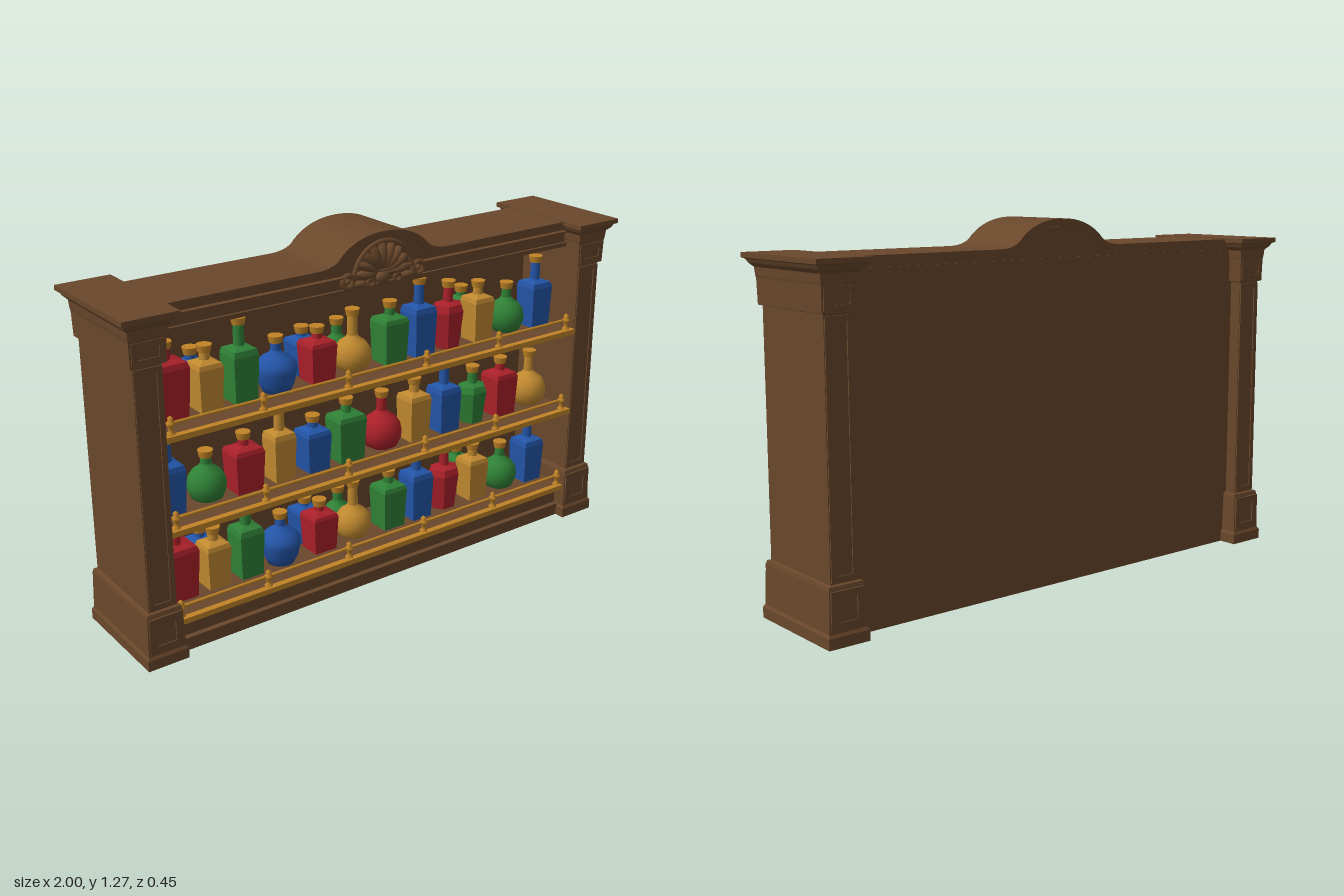
import * as THREE from 'three';

const mat = (name, color) => {
  const m = new THREE.MeshStandardMaterial({ color });
  m.name = name;
  return m;
};

export function createModel() {
  const wood = mat('brown wood', 0x69472b);
  const brass = mat('brass', 0xc08326);
  const glass = {
    R: mat('red glass', 0xa92029), A: mat('amber glass', 0xbf882f),
    G: mat('green glass', 0x2f8036), B: mat('blue glass', 0x2354a6),
  };
  const model = new THREE.Group();
  model.name = 'bottleCabinet';

  const add = (name, geo, material, x = 0, y = 0, z = 0, parent = model) => {
    const mesh = new THREE.Mesh(geo, material);
    mesh.name = name;
    mesh.position.set(x, y, z);
    parent.add(mesh);
    return mesh;
  };
  // Box given by its min and max corners
  const box = (name, material, x0, x1, y0, y1, z0, z1) =>
    add(name, new THREE.BoxGeometry(x1 - x0, y1 - y0, z1 - z0), material,
      (x0 + x1) / 2, (y0 + y1) / 2, (z0 + z1) / 2);
  const flat = (geo) => {
    const g = geo.toNonIndexed();
    g.computeVertexNormals();
    return g;
  };

  // Rectangular column whose sides follow a profile of [outset, height]
  const rectColumn = (hx, hz, profile) => {
    const pos = [], idx = [];
    for (const [o, y] of profile) {
      const a = hx + o, b = hz + o;
      pos.push(-a, y, b, a, y, b, a, y, -b, -a, y, -b);
    }
    for (let i = 0; i < profile.length - 1; i++)
      for (let j = 0; j < 4; j++) {
        const a = i * 4 + j, b = i * 4 + (j + 1) % 4;
        idx.push(a, b, b + 4, a, b + 4, a + 4);
      }
    const t = (profile.length - 1) * 4;
    idx.push(0, 2, 1, 0, 3, 2, t, t + 1, t + 2, t, t + 2, t + 3);
    const g = new THREE.BufferGeometry();
    g.setAttribute('position', new THREE.Float32BufferAttribute(pos, 3));
    g.setIndex(idx);
    return flat(g);
  };

  // Raised rectangular border, centred on x = 0
  const frame = (w, y0, y1, border, depth) => {
    const s = new THREE.Shape([[-w / 2, y0], [w / 2, y0], [w / 2, y1], [-w / 2, y1]]
      .map(([x, y]) => new THREE.Vector2(x, y)));
    const k = w / 2 - border;
    s.holes.push(new THREE.Path([[-k, y0 + border], [-k, y1 - border], [k, y1 - border], [k, y0 + border]]
      .map(([x, y]) => new THREE.Vector2(x, y))));
    return new THREE.ExtrudeGeometry(s, { depth, bevelEnabled: false });
  };

  // Pillars with base, capital and cornice, framed front and back
  const pillarGeo = rectColumn(0.045, 0.175, [
    [0.028, 0], [0.028, 0.036], [0.022, 0.046], [0.018, 0.18], [0.015, 0.192], [0.005, 0.195],
    [0.004, 1.01], [0.015, 1.013], [0.017, 1.095], [0.019, 1.105], [0.021, 1.13],
    [0.034, 1.143], [0.04, 1.155], [0.05, 1.159], [0.05, 1.175]]);
  for (const side of [-1, 1]) {
    const pillar = new THREE.Group();
    pillar.name = side > 0 ? 'leftPillar' : 'rightPillar';
    pillar.position.x = side * 0.905;
    model.add(pillar);
    add('pillarBody', pillarGeo, wood, 0, 0, 0, pillar);
    for (const face of [0, Math.PI]) {
      const trim = new THREE.Group();
      trim.name = 'pillarTrim';
      trim.rotation.y = face;
      pillar.add(trim);
      add('shaftFrame', frame(0.094, 0.2, 1.005, 0.018, 0.008), wood, 0, 0, 0.176, trim);
      add('baseFrame', frame(0.12, 0.052, 0.178, 0.026, 0.009), wood, 0, 0, 0.191, trim);
      add('capitalFrame', frame(0.11, 1.02, 1.092, 0.018, 0.007), wood, 0, 0, 0.188, trim);
    }
  }

  // Back panel and plinth
  box('backPanel', wood, -0.87, 0.87, 0, 1.12, -0.135, -0.11);
  box('plinth', wood, -0.87, 0.87, 0, 0.112, -0.135, 0.145);
  box('plinthFoot', wood, -0.86, 0.86, 0, 0.045, 0.14, 0.165);

  // Header with an arched crest
  const arch = (base, rise, bottom) => {
    const s = new THREE.Shape();
    s.moveTo(-0.87, bottom);
    s.lineTo(0.87, bottom);
    s.lineTo(0.87, base);
    s.lineTo(0.27, base);
    s.quadraticCurveTo(0.2, base, 0.175, base + rise * 0.35);
    s.bezierCurveTo(0.13, base + rise * 0.8, 0.07, base + rise, 0, base + rise);
    s.bezierCurveTo(-0.07, base + rise, -0.13, base + rise * 0.8, -0.175, base + rise * 0.35);
    s.quadraticCurveTo(-0.2, base, -0.27, base);
    s.lineTo(-0.87, base);
    return s;
  };
  const slab = (name, shape, z0, z1) => add(name,
    new THREE.ExtrudeGeometry(shape, { depth: z1 - z0, bevelEnabled: false, curveSegments: 12 }), wood, 0, 0, z0);
  slab('header', arch(1.15, 0.09, 1.08), -0.135, 0.115);
  // Cornice lip following the crest
  const lip = arch(1.172, 0.094, 1.13);
  lip.holes.push(new THREE.Path(arch(1.148, 0.094, 1.135).getPoints(12).reverse()
    .map((p) => new THREE.Vector2(p.x * 0.99, p.y))));
  slab('corniceLip', lip, -0.14, 0.135);
  box('headerBead', wood, -0.865, 0.865, 1.075, 1.09, 0.1, 0.125);

  // Carved shell and scrolls
  const shell = new THREE.Group();
  shell.name = 'carvedShell';
  model.add(shell);
  const petalGeo = new THREE.SphereGeometry(1, 10, 8);
  for (let i = 0; i < 9; i++) {
    const a = (i - 4) * 0.37, len = 0.052 - Math.abs(i - 4) * 0.002;
    const petal = add('shellPetal', petalGeo, wood, Math.sin(a) * 0.068, 1.12 + Math.cos(a) * 0.065, 0.122, shell);
    petal.scale.set(0.016, len, 0.02);
    petal.rotation.z = -a;
  }
  add('shellHeart', petalGeo, wood, 0, 1.11, 0.125, shell).scale.set(0.026, 0.024, 0.02);
  add('shellRim', new THREE.TorusGeometry(0.122, 0.008, 6, 24, Math.PI), wood, 0, 1.11, 0.128, shell);
  for (const s of [-1, 1]) {
    add('largeScroll', new THREE.TorusGeometry(0.021, 0.009, 6, 14), wood, s * 0.145, 1.117, 0.128, shell);
    add('scrollEye', petalGeo, wood, s * 0.145, 1.117, 0.128, shell).scale.setScalar(0.01);
    add('smallScroll', new THREE.TorusGeometry(0.013, 0.006, 6, 12), wood, s * 0.055, 1.1, 0.132, shell);
    add('scrollLeaf', petalGeo, wood, s * 0.1, 1.1, 0.125, shell).scale.set(0.034, 0.012, 0.016);
  }

  // Body profiles as [radius / half width, height / unit]; the unit is the bottle's height, or a ball's width
  const bodies = {
    square: { n: 4, p: [[0.88, 0], [1, 0.66], [0.9, 0.73]] },
    tall: { n: 4, p: [[0.9, 0], [1, 0.56], [0.9, 0.63]] },
    hex: { n: 6, p: [[0.75, 0], [1, 0.55], [0.85, 0.65]] },
    belly: { n: 20, p: [[0.66, 0], [0.85, 0.15], [1, 0.38], [0.97, 0.5], [0.7, 0.61], [0.35, 0.68]] },
    ball: { n: 20, p: [[0.45, 0], [0.8, 0.1], [0.97, 0.3], [1, 0.46], [0.93, 0.64], [0.72, 0.8], [0.4, 0.91]] },
  };
  const bottle = (kind, w, h, glassMat, x, y, z) => {
    const g = new THREE.Group();
    g.name = kind + 'Bottle';
    g.position.set(x, y, z);
    model.add(g);
    const { n, p } = bodies[kind];
    const unit = kind === 'ball' ? w : h;
    const k = w / 2 / (n < 8 ? Math.cos(Math.PI / n) : 1);
    const shoulder = p[p.length - 1][1] * unit + 0.012;
    const pts = [[0, 0], ...p.map(([r, t]) => [r * k, t * unit]), [0.018, shoulder]]
      .map(([r, t]) => new THREE.Vector2(r, t));
    const body = new THREE.LatheGeometry(pts, n, Math.PI / n);
    if (n < 8) body.scale(1, 1, Math.min(1, 0.094 / w));
    add('bottleBody', n < 8 ? flat(body) : body, glassMat, 0, 0, 0, g);
    const neckLow = shoulder - 0.01, neckTop = h - 0.018;
    add('bottleNeck', new THREE.CylinderGeometry(0.017, 0.019, neckTop - neckLow, 12), glassMat, 0, (neckLow + neckTop) / 2, 0, g);
    add('bottleStopper', new THREE.CylinderGeometry(0.026, 0.021, 0.024, 12), brass, 0, h - 0.012, 0, g);
  };

  // Bottle rows: colour, kind, x, width, height
  const rowA = [
    ['R', 'square', -0.775, 0.125, 0.255], ['A', 'square', -0.635, 0.088, 0.215], ['G', 'tall', -0.508, 0.092, 0.28],
    ['B', 'belly', -0.37, 0.142, 0.19], ['R', 'square', -0.207, 0.1, 0.19], ['A', 'ball', -0.062, 0.13, 0.222],
    ['G', 'square', 0.097, 0.1, 0.22], ['B', 'tall', 0.225, 0.092, 0.28], ['R', 'hex', 0.358, 0.115, 0.245],
    ['A', 'square', 0.497, 0.088, 0.22], ['G', 'ball', 0.636, 0.135, 0.19], ['B', 'tall', 0.777, 0.092, 0.265]];
  const rowB = [
    ['B', 'tall', -0.79, 0.092, 0.262], ['G', 'ball', -0.648, 0.132, 0.178], ['R', 'square', -0.505, 0.11, 0.205],
    ['A', 'tall', -0.365, 0.084, 0.267], ['B', 'square', -0.23, 0.094, 0.197], ['G', 'square', -0.09, 0.112, 0.227],
    ['R', 'ball', 0.064, 0.145, 0.217], ['A', 'square', 0.21, 0.09, 0.232], ['B', 'tall', 0.348, 0.092, 0.267],
    ['G', 'hex', 0.484, 0.11, 0.217], ['R', 'square', 0.62, 0.1, 0.222], ['A', 'ball', 0.767, 0.138, 0.217]];
  // A few low bottles standing behind the first and third rows
  const behind = [
    ['B', 'square', -0.635, 0.085, 0.18], ['B', 'square', -0.207, 0.09, 0.165],
    ['G', 'ball', -0.062, 0.11, 0.165], ['G', 'square', 0.497, 0.085, 0.18]];

  // Shelves with brass edge, gallery rail and turned posts
  const postGeo = new THREE.LatheGeometry([[0, 0], [0.014, 0], [0.014, 0.008], [0.007, 0.014], [0.008, 0.026],
    [0.014, 0.035], [0.014, 0.043], [0.007, 0.05], [0.01, 0.057], [0, 0.066]]
    .map(([r, y]) => new THREE.Vector2(r, y)), 12);
  const railGeo = new THREE.CylinderGeometry(0.006, 0.006, 1.68, 8).rotateZ(Math.PI / 2);
  [0.13, 0.447, 0.767].forEach((y, level) => {
    box('shelfBoard', wood, -0.868, 0.868, y - 0.02, y, -0.112, 0.16);
    box('shelfEdge', brass, -0.86, 0.86, y - 0.018, y + 0.001, 0.16, 0.183);
    add('galleryRail', railGeo, brass, 0, y + 0.036, 0.16);
    for (let i = 0; i < 6; i++) add('railPost', postGeo, brass, -0.83 + i * 0.332, y - 0.004, 0.16);
    for (const [c, kind, x, w, h] of level === 1 ? rowB : rowA) bottle(kind, w, h, glass[c], x, y, 0.038);
    if (level !== 1) for (const [c, kind, x, w, h] of behind) bottle(kind, w, h, glass[c], x, y, -0.055);
  });
  return model;
}
